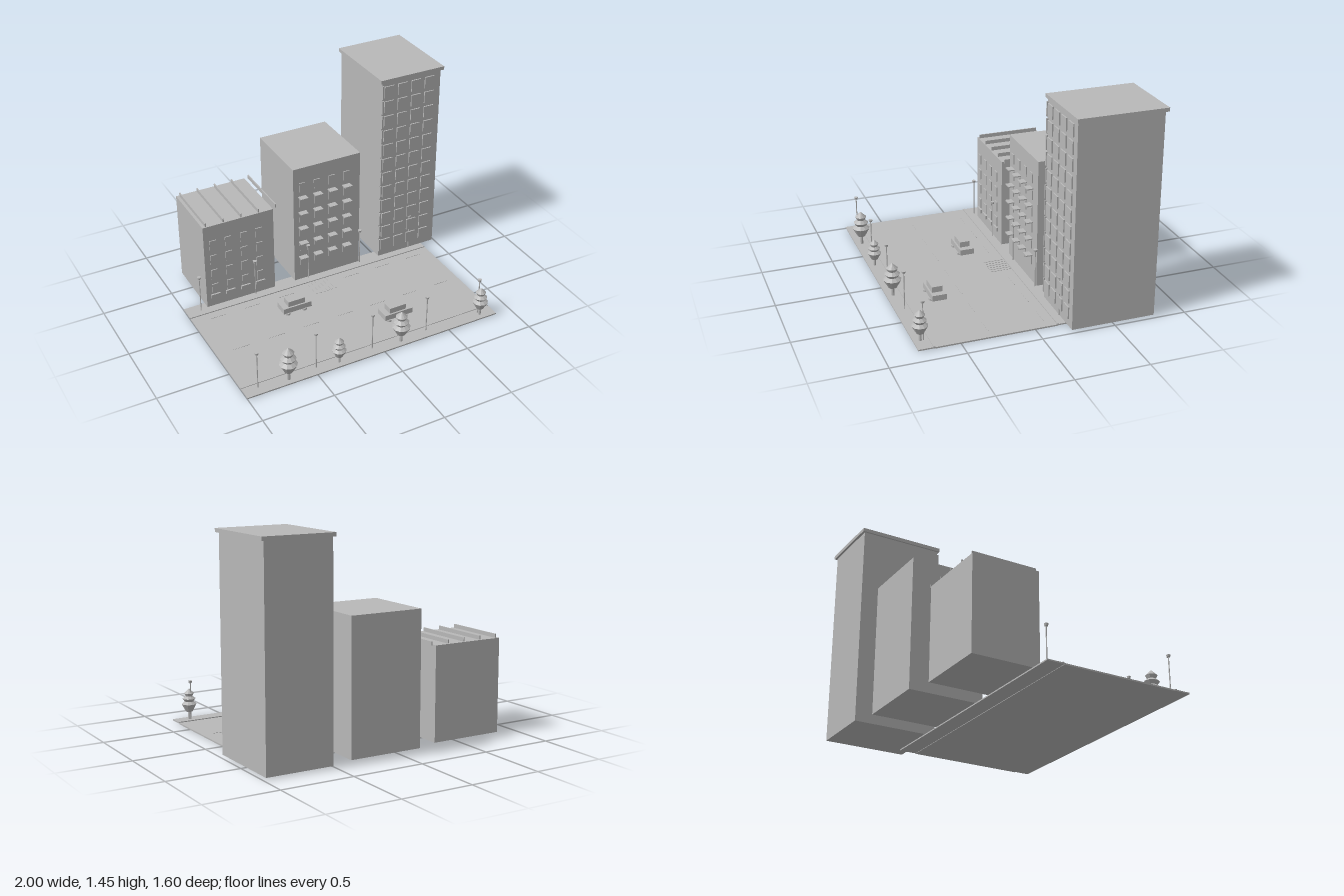
import * as THREE from 'three';

export function createModel() {
  const root = new THREE.Group();
  const grey = new THREE.MeshStandardMaterial({ color: 0xb8b8b8, flatShading: true });
  grey.name = 'light grey';

  const add = (parent, name, geo, x = 0, y = 0, z = 0) => {
    const m = new THREE.Mesh(geo, grey);
    m.name = name;
    m.position.set(x, y, z);
    parent.add(m);
    return m;
  };
  // box given by its minimum and maximum corners
  const box = (parent, name, x0, x1, y0, y1, z0, z1) =>
    add(parent, name, new THREE.BoxGeometry(x1 - x0, y1 - y0, z1 - z0),
      (x0 + x1) / 2, (y0 + y1) / 2, (z0 + z1) / 2);
  const group = (name, x = 0, z = 0) => {
    const g = new THREE.Group();
    g.name = name;
    g.position.set(x, 0, z);
    root.add(g);
    return g;
  };
  // grid of thin window plates
  const windows = (parent, xs, ys, w, h, z0, z1) => {
    for (const x of xs) for (const y of ys)
      box(parent, 'window', x - w / 2, x + w / 2, y - h / 2, y + h / 2, z0, z1);
  };

  // Street
  const street = group('street');
  box(street, 'road', -1, 0.88, 0, 0.01, -0.15, 0.67);
  box(street, 'backSidewalk', -1, 0.88, 0.003, 0.012, -0.27, -0.15);
  box(street, 'frontSidewalk', -1, 0.88, 0.003, 0.012, 0.67, 0.78);
  for (const z of [-0.155, 0.675])
    box(street, 'curb', -1, 0.88, 0.004, 0.016, z - 0.006, z + 0.006);
  for (let i = 0; i < 7; i++) {
    const x = -0.88 + i * 0.26;
    if (Math.abs(x + 0.1) > 0.05) box(street, 'laneDash', x, x + 0.12, 0.01, 0.012, -0.09, -0.083);
    box(street, 'laneDash', x, x + 0.12, 0.01, 0.012, 0.29, 0.297);
  }
  for (let i = 0; i < 6; i++)
    box(street, 'crossingStripe', -0.11 + i * 0.03, -0.094 + i * 0.03, 0.01, 0.0125, -0.145, 0);

  // Low building with roof fins and window boxes
  const low = group('lowBuilding');
  box(low, 'lowWalls', -0.845, -0.325, 0.012, 0.66, -0.685, -0.217);
  const lowCols = [-0.78, -0.666, -0.552, -0.438];
  windows(low, lowCols, [0.155, 0.273, 0.391, 0.509], 0.048, 0.072, -0.218, -0.21);
  for (const x of lowCols) box(low, 'windowBox', x - 0.035, x + 0.035, 0.08, 0.108, -0.218, -0.205);
  for (let i = 0; i < 5; i++) {
    const x = -0.82 + i * 0.13;
    box(low, 'roofFin', x - 0.004, x + 0.004, 0.66, 0.687, -0.675, -0.225);
  }

  // Middle building with balcony slabs
  const mid = group('middleBuilding');
  box(mid, 'middleWalls', -0.168, 0.353, 0.012, 0.922, -0.738, -0.217);
  const midCols = [-0.102, 0.013, 0.128, 0.243];
  windows(mid, midCols, [0.17, 0.29, 0.41, 0.53, 0.65, 0.772], 0.046, 0.07, -0.218, -0.21);
  for (const x of midCols) for (let i = 0; i < 5; i++) {
    const y = 0.205 + i * 0.123;
    box(mid, 'balcony', x - 0.03, x + 0.03, y - 0.004, y + 0.004, -0.218, -0.172);
  }

  // Tower with overhanging cap
  const tower = group('tower');
  box(tower, 'towerWalls', 0.513, 0.979, 0.012, 1.425, -0.786, -0.208);
  box(tower, 'towerCap', 0.5, 1, 1.42, 1.445, -0.802, -0.196);
  const floors = Array.from({ length: 12 }, (_, i) => 0.107 + i * 0.1128);
  windows(tower, [0.569, 0.676, 0.783, 0.89], floors, 0.075, 0.085, -0.209, -0.199);
  for (const y of floors)
    box(tower, 'cornerStrip', 0.513, 0.523, y - 0.05, y + 0.05, -0.209, -0.197);

  // Street lamps in two rows
  for (const z of [-0.205, 0.714]) for (let i = 0; i < 5; i++) {
    const lamp = group('streetLamp', -0.898 + i * 0.417, z);
    add(lamp, 'lampPole', new THREE.CylinderGeometry(0.004, 0.004, 0.265, 8), 0, 0.1425, 0);
    add(lamp, 'lampHead', new THREE.CylinderGeometry(0.014, 0.011, 0.015, 12), 0, 0.282, 0);
  }

  // Trees with stacked tiers; profile is [radius, height]
  const profile = [[0, 0.075], [0.028, 0.075], [0.062, 0.138], [0.036, 0.158], [0.053, 0.182],
    [0.028, 0.202], [0.04, 0.226], [0, 0.265]].map(([r, y]) => new THREE.Vector2(r, y));
  for (const [x, w, h] of [[-0.69, 1, 1], [-0.323, 0.78, 0.79], [0.144, 1, 0.95], [0.772, 0.86, 0.87]]) {
    const tree = group('tree', x, 0.735);
    tree.scale.set(w, h, w);
    add(tree, 'foliage', new THREE.LatheGeometry(profile, 10));
    add(tree, 'trunk', new THREE.CylinderGeometry(0.01, 0.012, 0.08, 8), 0, 0.045, 0);
  }

  // Cars
  for (const [x, z] of [[-0.321, 0.085], [0.254, 0.475]]) {
    const car = group('car', x, z);
    box(car, 'carBody', -0.107, 0.107, 0.033, 0.073, -0.05, 0.05);
    box(car, 'carCabin', -0.065, 0.06, 0.073, 0.113, -0.035, 0.038);
    for (const wx of [-0.073, 0.053]) for (const wz of [-0.048, 0.042])
      add(car, 'wheel', new THREE.CylinderGeometry(0.018, 0.018, 0.014, 12), wx, 0.027, wz);
  }
  return root;
}
